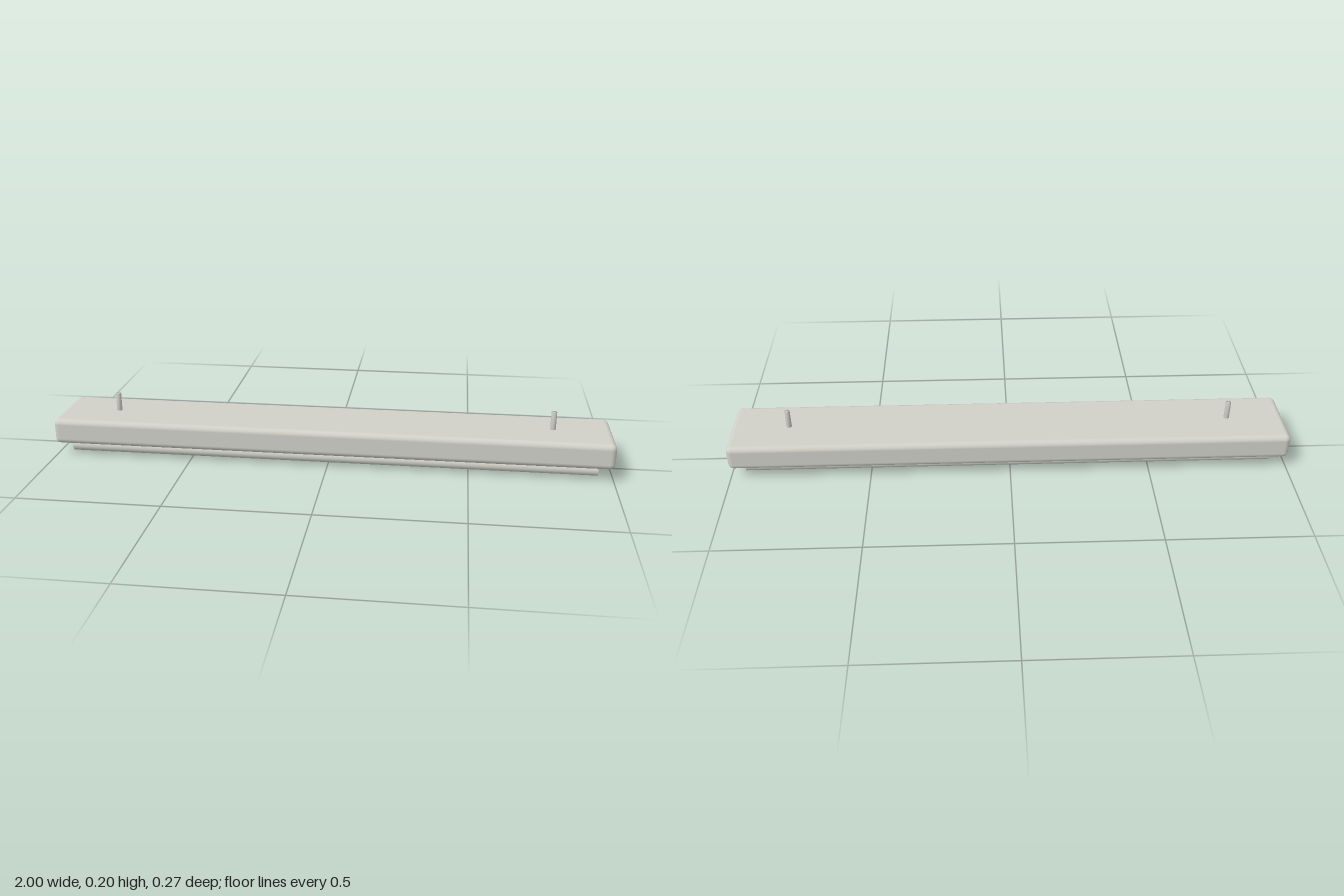
import * as THREE from 'three';
import { RoundedBoxGeometry } from 'three/addons/geometries/RoundedBoxGeometry.js';
import { mergeVertices } from 'three/addons/utils/BufferGeometryUtils.js';

// Cylinder whose flat ends share softened normals with its side
function softCylinder(radius, length, sides) {
  const g = new THREE.CylinderGeometry(radius, radius, length, sides);
  g.deleteAttribute('normal');
  g.deleteAttribute('uv');
  const merged = mergeVertices(g, 1e-5);
  merged.computeVertexNormals();
  return merged;
}

export function createModel() {
  const group = new THREE.Group();
  group.name = 'ceilingLight';
  const paleGrey = new THREE.MeshStandardMaterial({ color: 0xd0d0c8 });
  paleGrey.name = 'paleGrey';

  const add = (name, geometry, x, y, z) => {
    const mesh = new THREE.Mesh(geometry, paleGrey);
    mesh.name = name;
    mesh.position.set(x, y, z);
    group.add(mesh);
    return mesh;
  };

  // Long rounded housing
  add('housing', new RoundedBoxGeometry(2, 0.093, 0.267, 3, 0.02), 0, 0.0927, 0);

  // Two lamp tubes hanging just below the housing
  const tube = softCylinder(0.0214, 1.9, 24).rotateZ(Math.PI / 2);
  // Two suspension rods, sunk slightly into the housing top
  const rod = softCylinder(0.0098, 0.075, 12);
  for (const s of [1, -1]) {
    add(s > 0 ? 'frontTube' : 'backTube', tube, 0, 0.0214, s * 0.0667);
    add(s > 0 ? 'leftRod' : 'rightRod', rod, s * 0.792, 0.167, 0);
  }
  return group;
}
